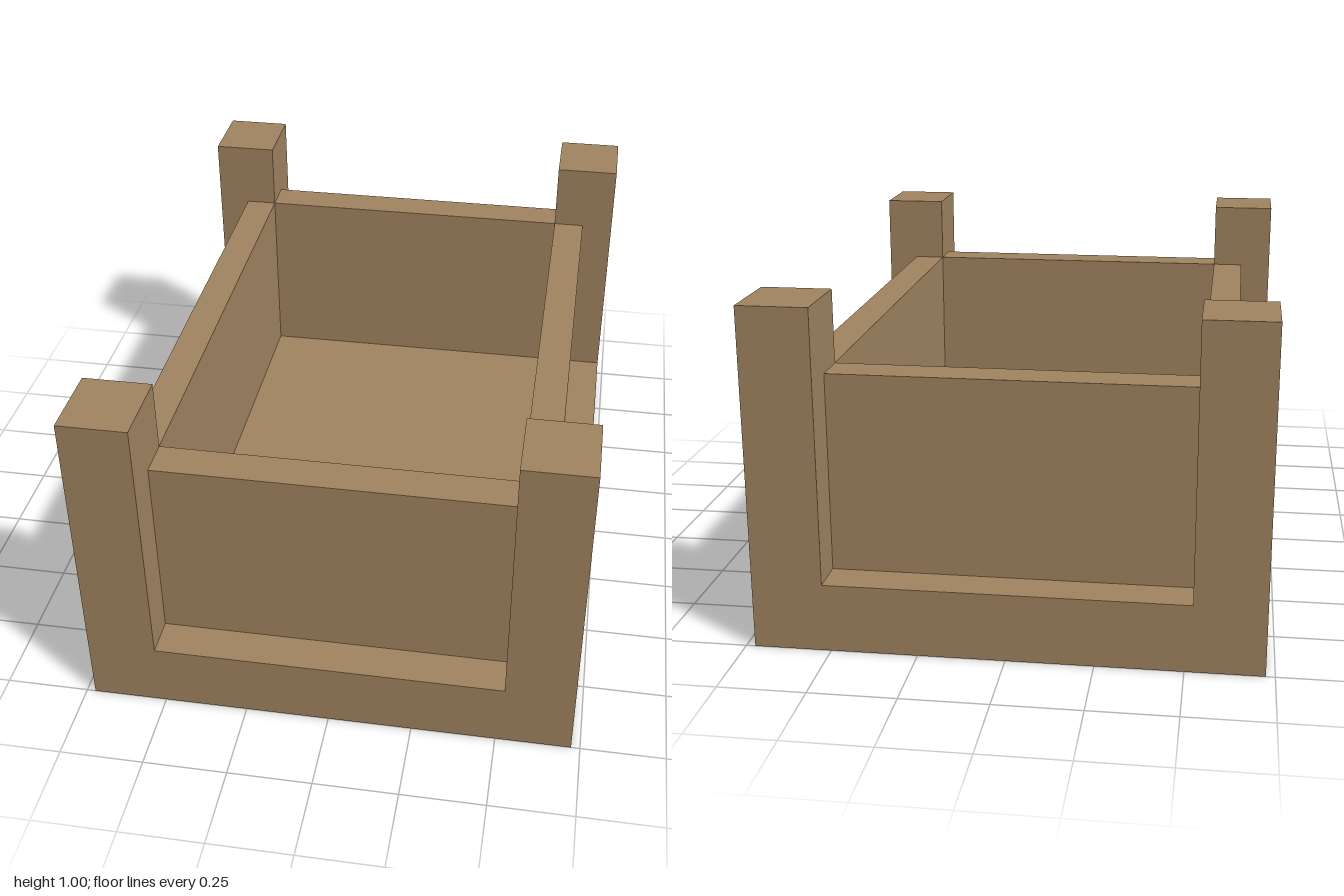
import * as THREE from 'three';

export function createModel() {
  const model = new THREE.Group();
  model.name = 'openCrate';

  const wood = new THREE.MeshStandardMaterial({ color: 0xa08460 });
  wood.name = 'wood';

  const halfW = 0.724, halfD = 1;        // outer footprint
  const innerX = 0.52, innerZ = 0.768;   // inner cavity
  const panelX = 0.621, panelZ = 0.882;  // recessed outer panel faces
  const baseTop = 0.2, panelTop = 0.785, postTop = 1;

  // Box given by its minimum and maximum corners
  function addBox(name, [x0, y0, z0], [x1, y1, z1]) {
    const mesh = new THREE.Mesh(new THREE.BoxGeometry(x1 - x0, y1 - y0, z1 - z0), wood);
    mesh.position.set((x0 + x1) / 2, (y0 + y1) / 2, (z0 + z1) / 2);
    mesh.name = name;
    model.add(mesh);
  }

  // Solid base, its top is the floor of the crate
  addBox('base', [-halfW, 0, -halfD], [halfW, baseTop, halfD]);

  // Corner posts
  for (const [side, x] of [['Right', -halfW], ['Left', innerX]]) {
    for (const [end, z] of [['back', -halfD], ['front', innerZ]]) {
      addBox(`${end}${side}Post`, [x, baseTop, z],
        [x + halfW - innerX, postTop, z + halfD - innerZ]);
    }
  }

  // Recessed wall panels between the posts
  addBox('frontPanel', [-innerX, baseTop, innerZ], [innerX, panelTop, panelZ]);
  addBox('backPanel', [-innerX, baseTop, -panelZ], [innerX, panelTop, -innerZ]);
  addBox('leftPanel', [innerX, baseTop, -innerZ], [panelX, panelTop, innerZ]);
  addBox('rightPanel', [-panelX, baseTop, -innerZ], [-innerX, panelTop, innerZ]);

  return model;
}
